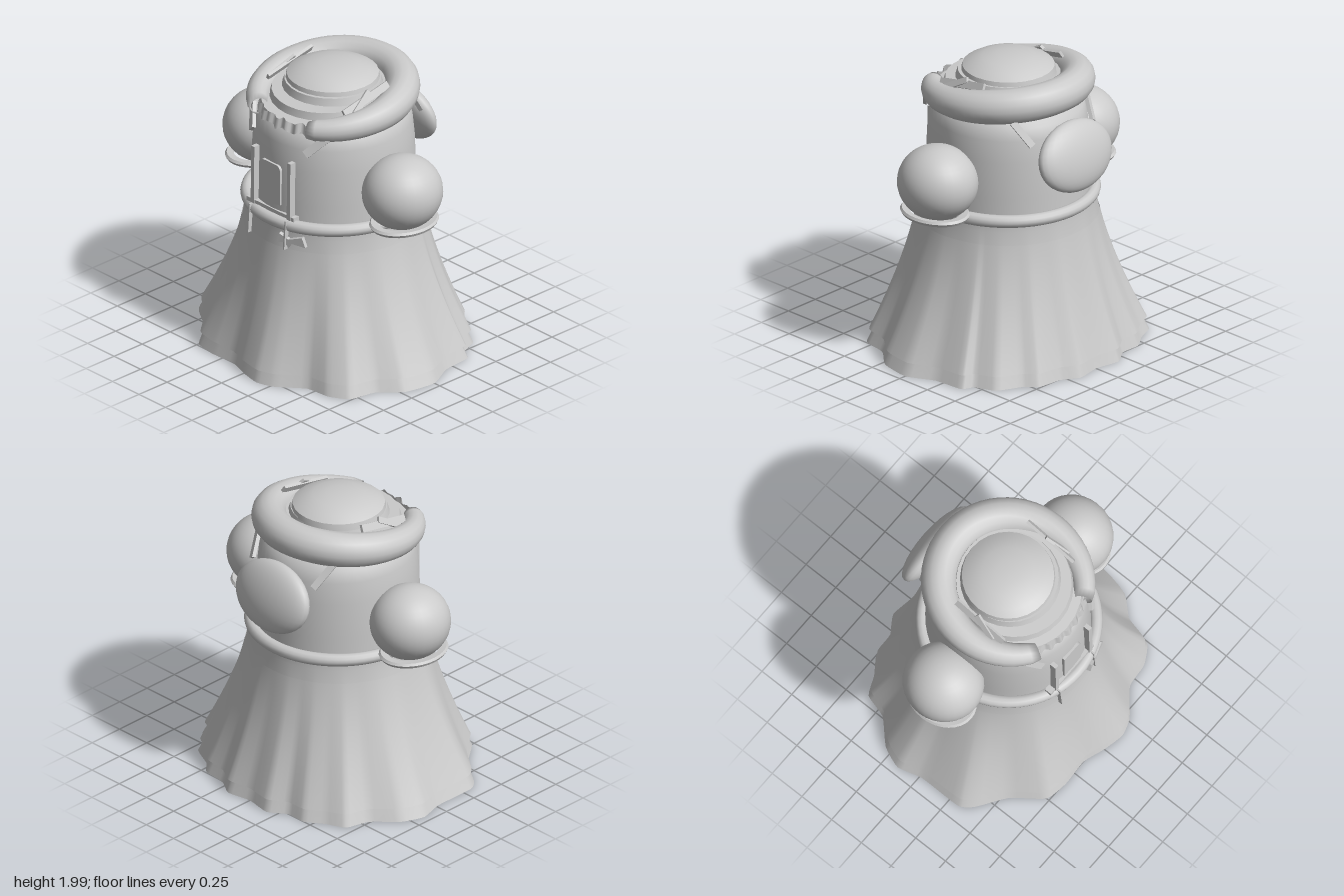
import * as THREE from 'three';
import { toCreasedNormals } from 'three/addons/utils/BufferGeometryUtils.js';
import { ParametricGeometry } from 'three/addons/geometries/ParametricGeometry.js';

const fabric = new THREE.MeshStandardMaterial({ color: 0xcacaca, side: THREE.DoubleSide });
fabric.name = 'greyFabric';

export function createModel() {
  const model = new THREE.Group();
  model.name = 'puffSleeveDress';

  const add = (name, geometry, x = 0, y = 0, z = 0) => {
    const mesh = new THREE.Mesh(geometry, fabric);
    mesh.name = name;
    mesh.position.set(x, y, z);
    model.add(mesh);
    return mesh;
  };
  const v = (x, y, z) => new THREE.Vector3(x, y, z);
  const lathe = (pts, seg = 48) =>
    toCreasedNormals(new THREE.LatheGeometry(pts.map(p => new THREE.Vector2(...p)), seg), 0.7);

  // Flat strip laid from a to b
  const strip = (name, a, b, width, thick = 0.02, faceDir = v(0, 0, 1)) => {
    const dir = b.clone().sub(a);
    const mesh = add(name, new THREE.BoxGeometry(width, dir.length(), thick));
    mesh.position.copy(a).add(b).multiplyScalar(0.5);
    const yAxis = dir.normalize();
    const xAxis = yAxis.clone().cross(faceDir).normalize();
    mesh.quaternion.setFromRotationMatrix(
      new THREE.Matrix4().makeBasis(xAxis, yAxis, xAxis.clone().cross(yAxis)));
  };

  // Pleated hem outline as [x, z], going round from the front
  const hem = new THREE.CatmullRomCurve3([
    [0.0, 0.80], [0.15, 0.83], [0.27, 0.79], [0.44, 0.65], [0.61, 0.63], [0.74, 0.55],
    [0.78, 0.37], [0.91, 0.22], [0.95, 0.0], [0.86, -0.19], [0.84, -0.40], [0.76, -0.44],
    [0.70, -0.58], [0.54, -0.66], [0.46, -0.74], [0.29, -0.76], [0.17, -0.83], [0.0, -0.80],
    [-0.18, -0.83], [-0.30, -0.75], [-0.44, -0.75], [-0.56, -0.67], [-0.69, -0.61],
    [-0.74, -0.45], [-0.89, -0.30], [-0.95, -0.15], [-0.905, 0.02], [-0.905, 0.32],
    [-0.84, 0.41], [-0.65, 0.54], [-0.50, 0.73], [-0.34, 0.76], [-0.15, 0.75],
  ].map(([x, z]) => v(x, 0, z)), true, 'catmullrom', 0.25);

  // Skirt layer: a round waist that flares into the pleated hem
  const skirt = (name, topY, bottomY, offset, spread) => add(name, new ParametricGeometry((u, t, out) => {
    const y = topY + (bottomY - topY) * t;
    const flare = Math.pow(1 - y / 1.05, 1.5);
    const p = hem.getPoint(u % 1);
    const r = THREE.MathUtils.lerp(0.575, Math.hypot(p.x, p.z), flare) + offset + spread * t;
    const a = Math.atan2(p.x, p.z);
    out.set(Math.sin(a) * r, y, Math.cos(a) * r);
  }, 132, 16));
  skirt('underSkirt', 1.05, 0.01, 0, 0.005);
  skirt('overSkirt', 0.9, 0.1, 0.005, 0.028);

  // Bodice with rounded shoulders, its lining reaching down inside the skirt
  const bodice = add('bodice', lathe([[0.52, 0.72], [0.55, 0.95], [0.545, 1.05], [0.543, 1.2], [0.535, 1.45],
    [0.52, 1.6], [0.5, 1.68], [0.45, 1.73], [0.36, 1.77]]), -0.005, 0, -0.003);
  bodice.scale.x = 0.97;

  // Waistband roll
  const waist = add('waistband', new THREE.TorusGeometry(0.565, 0.042, 12, 64), 0, 1.06, 0);
  waist.rotation.x = Math.PI / 2;

  // Layered neckline tiers, stepping down and forward
  [[0.33, 1.87, 0.05, 0.01], [0.39, 1.82, 0.05, 0.04], [0.45, 1.77, 0.05, 0.05]].forEach(([r, y, h, z], i) => {
    const tier = add('necklineTier' + (i + 1), toCreasedNormals(new THREE.CylinderGeometry(r - 0.015, r, h, 28), 0.6), 0, y, z);
    tier.rotation.x = 0.05 * i;
  });
  add('neckDome', lathe([[0.31, 1.88], [0.3, 1.925], [0.25, 1.955], [0.17, 1.985], [0.08, 1.998], [0, 2]], 28), -0.01);

  // Rolled collar: thick and high behind, thin and low at the open front
  const gap = 0.48;
  add('collar', new ParametricGeometry((u, t, out) => {
    const a = gap + (2 * Math.PI - 2 * gap) * t;
    const front = (1 + Math.cos(a)) / 2;
    const thick = (0.117 - 0.055 * front * front) * (t === 0 || t === 1 ? 0.85 : 1);
    const y = 1.735 + 0.108 * (1 - front);
    const b = u * Math.PI * 2;
    const r = 0.447 + 0.06 * front * front + thick * Math.cos(b);
    out.set(Math.sin(a) * r, y + thick * Math.sin(b), Math.cos(a) * r);
  }, 16, 48), -0.008, 0, -0.003);

  // Gathered frill filling the open front of the collar
  add('frontFrill', new ParametricGeometry((u, t, out) => {
    const a = (u - 0.5) * 0.95;
    const r = 0.495 + 0.015 * t + 0.01 * Math.cos(u * 38);
    out.set(Math.sin(a) * r, 1.77 - 0.065 * t + 0.012 * Math.sin(u * 23), Math.cos(a) * r);
  }, 36, 3));

  for (const s of [-1, 1]) {
    // Puff sleeve with a flared cuff hugging its underside
    const sleeve = add('puffSleeve', new THREE.SphereGeometry(1, 32, 20), s * 0.657 - 0.01, 1.298, 0);
    sleeve.scale.set(0.26, 0.249, 0.27);
    const cuff = add('sleeveCuff', lathe([[0.15, 1.105], [0.19, 1.11], [0.2, 1.095], [0.19, 1.075], [0.15, 1.085]], 32),
      s * 0.68 - 0.012, 0, 0.005);
    cuff.scale.z = 1.25;

    // Strap ends showing below the collar
    strip('frontStrap', v(s * 0.35, 1.71, 0.39), v(s * 0.25, 1.59, 0.49), 0.055, 0.025, v(s * 0.5, 0.3, 1));
    strip('backStrap', v(s * 0.34, 1.74, -0.38), v(s * 0.28, 1.59, -0.5), 0.045, 0.025, v(s * 0.5, 0.3, -1));

    // Ribbons along the inside of the neckline
    strip('neckRibbon', v(s * 0.36, 1.84, 0.25), v(s * 0.36, 1.92, -0.14), 0.05, 0.02, v(s, 0.6, 0));
    strip('neckRibbonEnd', v(s * 0.39, 1.83, 0.18), v(s * 0.35, 1.92, 0.02), 0.04, 0.02, v(s, 0.6, 0));

    // Lacing ribbons down the chest
    strip('chestRibbon', v(s * 0.17 - 0.01, 1.1, 0.535), v(s * 0.17 - 0.01, 1.51, 0.53), 0.03, 0.045);
    strip('ribbonTail', v(s * 0.17 - 0.01, 0.9, 0.585), v(s * 0.17 - 0.01, 1.1, 0.57), 0.012, 0.03);
  }

  // Chest panel with rounded top
  const panel = new THREE.Shape();
  panel.moveTo(-0.095, 1.15);
  panel.lineTo(0.07, 1.17);
  panel.lineTo(0.07, 1.41);
  panel.quadraticCurveTo(0.07, 1.45, 0.03, 1.45);
  panel.lineTo(-0.095, 1.45);
  add('chestPanel', new THREE.ExtrudeGeometry(panel, { depth: 0.02, bevelEnabled: false }), 0, 0, 0.526);
  strip('lacingBase', v(-0.24, 1.11, 0.525), v(0.2, 1.11, 0.525), 0.03, 0.05);

  // Small bow below the waistband
  const bow = new THREE.Shape([[0, 0.01], [0.1, 0.045], [0.125, -0.02], [0.02, -0.015], [0, -0.05],
    [-0.03, -0.015], [-0.09, -0.03], [-0.07, 0.04]].map(p => new THREE.Vector2(...p)));
  add('waistBow', new THREE.ExtrudeGeometry(bow, { depth: 0.03, bevelEnabled: false }), 0.175, 0.965, 0.55)
    .rotation.y = 0.3;

  // Padded bustle on the back
  const pad = add('backPad', new THREE.SphereGeometry(1, 28, 18), -0.01, 1.463, -0.603);
  pad.scale.set(0.32, 0.235, 0.102);
  pad.rotation.x = 0.28;

  return model;
}
